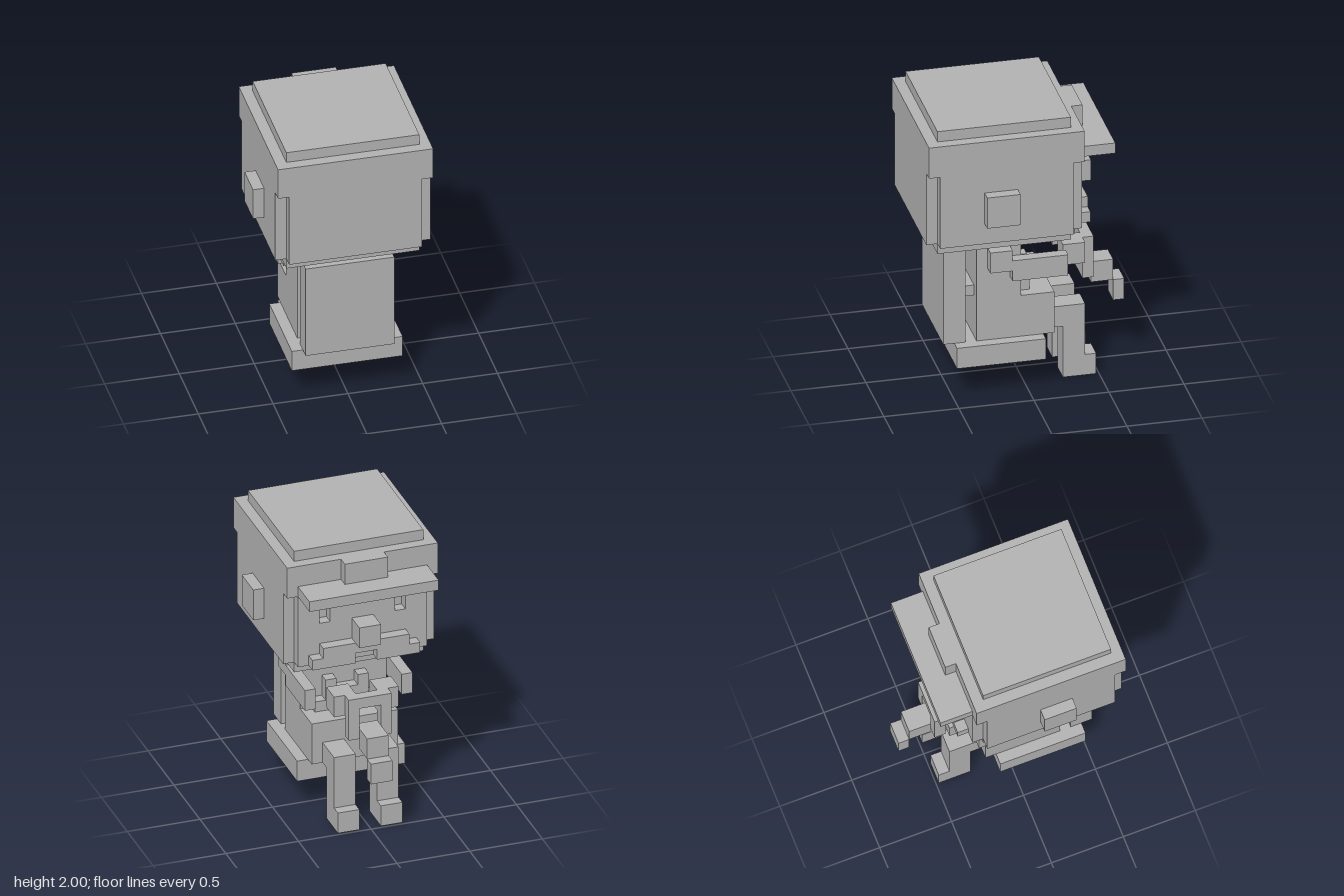
import * as THREE from 'three';

const U = 2 / 27; // edge of one block

export function createModel() {
  const model = new THREE.Group();
  const grey = new THREE.MeshStandardMaterial({ color: 0xb2b2b2 });
  grey.name = 'plain grey';

  // Box spanning block coordinates: x from -8 to 8, y from 0 to 27, z from 0 to 19
  function block(parent, name, x0, x1, y0, y1, z0, z1) {
    const mesh = new THREE.Mesh(
      new THREE.BoxGeometry((x1 - x0) * U, (y1 - y0) * U, (z1 - z0) * U), grey);
    mesh.position.set((x0 + x1) / 2 * U, (y0 + y1) / 2 * U, ((z0 + z1) / 2 - 9.5) * U);
    mesh.name = name;
    parent.add(mesh);
  }
  // The same box on both sides
  function pair(parent, name, x0, x1, ...rest) {
    block(parent, name + 'Left', x0, x1, ...rest);
    block(parent, name + 'Right', -x1, -x0, ...rest);
  }
  function group(name) {
    const g = new THREE.Group();
    g.name = name;
    model.add(g);
    return g;
  }

  // Head: stacked slabs with the lower upright corners cut away
  const head = group('head');
  block(head, 'crown', -6, 6, 26, 27, 6, 18);
  block(head, 'capBand', -7, 7, 23, 26, 5, 19);
  block(head, 'skull', -7, 7, 16, 23, 6, 18);
  block(head, 'backOfHead', -6, 6, 16, 23, 18, 19);
  block(head, 'chin', -6, 6, 15, 16, 6, 18);
  pair(head, 'ear', 7, 8, 18, 21, 11, 14);

  // Face layer, leaving two eye sockets
  block(head, 'cheeks', -6, 6, 16, 20, 5, 6);
  block(head, 'forehead', -6, 6, 22, 23, 5, 6);
  block(head, 'noseBridge', -3, 3, 20, 22, 5, 6);
  pair(head, 'temple', 4, 6, 20, 22, 5, 6);
  block(head, 'nose', -1, 1, 18, 20, 3, 5);
  block(head, 'moustacheTop', -4, 4, 17, 18, 4, 5);
  pair(head, 'moustacheSide', 1, 5, 16, 17, 4, 5);

  // Cap peak and badge
  block(head, 'capPeak', -6, 6, 23, 24, 2, 5);
  block(head, 'capBadge', -2, 2, 24, 26, 4, 5);

  // Body
  const body = group('body');
  block(body, 'neck', -1, 1, 14, 15, 11, 13);
  block(body, 'torso', -4, 4, 5, 14, 10, 14);
  block(body, 'lap', -4, 4, 5, 9, 7, 10);
  block(body, 'bibLower', -3, 3, 9, 10, 9, 10);
  block(body, 'bibUpper', -2, 2, 10, 11, 9, 10);
  pair(body, 'button', 1, 2, 11, 12, 9, 10);
  block(body, 'backBelt', -3, 3, 9, 10, 14, 15);

  // Arms
  const arms = group('arms');
  pair(arms, 'upperArm', 4, 5, 12, 14, 11, 13);
  pair(arms, 'elbow', 4, 5, 12, 13, 10, 11);
  pair(arms, 'forearm', 4, 5, 11, 13, 6, 11);
  pair(arms, 'hand', 1, 3, 11, 13, 4, 6);

  // Legs
  const legs = group('legs');
  pair(legs, 'thigh', 1, 3, 5, 7, 4, 7);
  pair(legs, 'shin', 1, 3, 0, 5, 4, 6);
  pair(legs, 'shoe', 1, 3, 0, 2, 3, 4);

  // Held ring with a hanging spout
  const ring = group('heldRing');
  pair(ring, 'ringSide', 1, 2, 9, 13, 3, 4);
  block(ring, 'ringTop', -1, 1, 12, 13, 3, 4);
  block(ring, 'ringBottom', -1, 1, 9, 10, 3, 4);
  block(ring, 'spout', -1, 1, 8, 10, 1, 3);
  block(ring, 'spoutTip', -1, 1, 6, 8, 0, 1);

  // Chair
  const chair = group('chair');
  block(chair, 'seat', -5, 5, 3, 5, 8, 16);
  block(chair, 'chairBack', -4, 4, 5, 14, 15, 17);

  return model;
}
